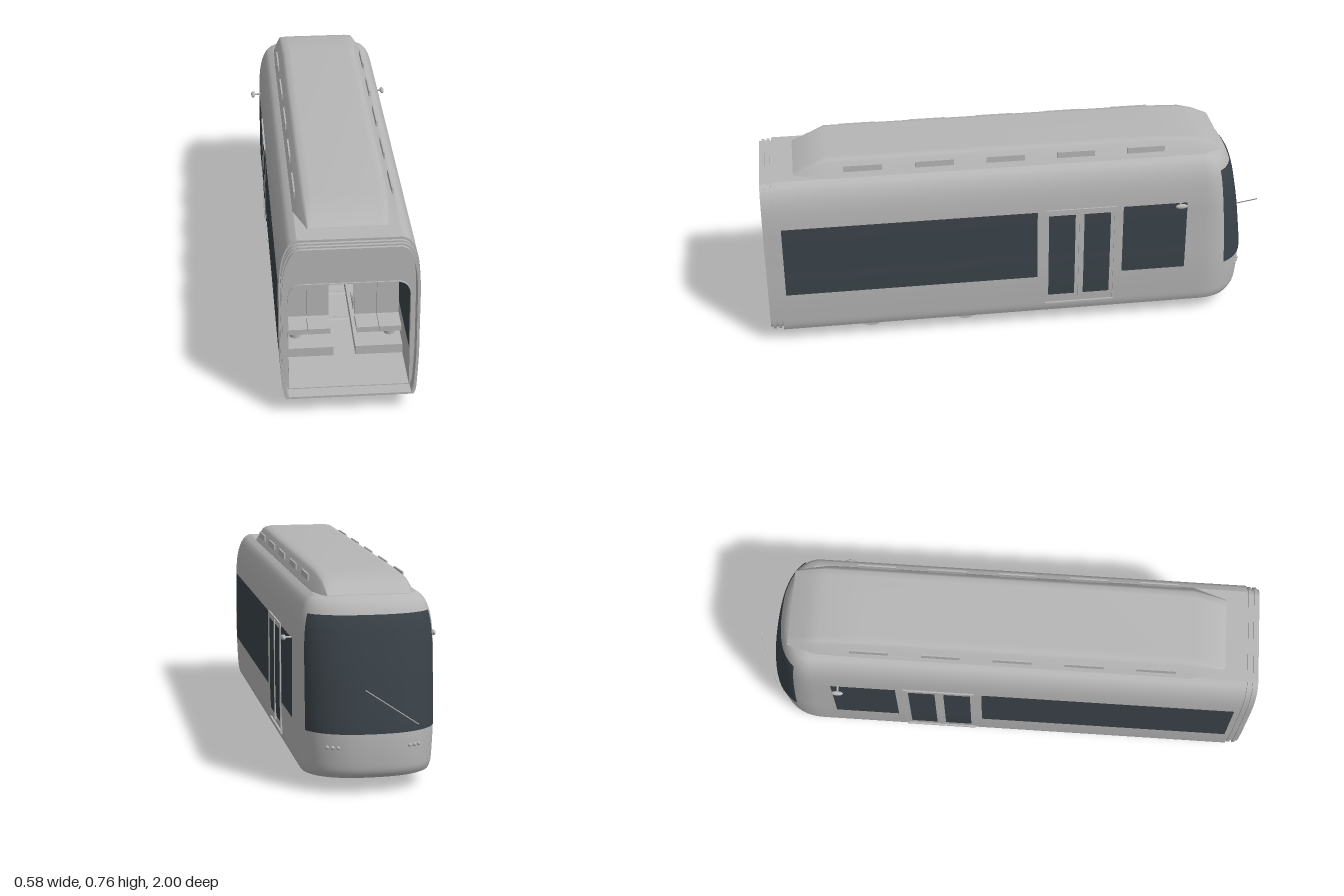
import * as THREE from 'three';

const NOSE_Z = -0.72, END_Z = 0.95;
// Half width, height and nose z of the body at each level
const levels = new THREE.CatmullRomCurve3([
  [0.235, 0.06, -0.9], [0.242, 0.08, -0.915], [0.246, 0.13, -0.923], [0.25, 0.23, -0.925], [0.25, 0.35, -0.912],
  [0.25, 0.45, -0.898], [0.249, 0.53, -0.883], [0.243, 0.6, -0.868], [0.234, 0.64, -0.855],
  [0.221, 0.67, -0.838], [0.205, 0.69, -0.815], [0.185, 0.7, -0.785],
].map(p => new THREE.Vector3(...p))).getPoints(66);

function levelAt(y) {
  for (let i = 1; i < levels.length; i++) {
    const a = levels[i - 1], b = levels[i];
    if (y <= b.y) return a.clone().lerp(b, Math.max(0, (y - a.y) / (b.y - a.y)));
  }
  return levels[levels.length - 1].clone();
}

// Body surface: |s| <= 1 wraps the nose, 1..2 runs along the side
function bodyPoint(s, y, off = 0) {
  const l = levelAt(y), w = l.x + off, n = l.z - off, a = Math.abs(s), sg = Math.sign(s);
  if (a >= 1) return [sg * w, y, NOSE_Z + (a - 1) * (END_Z - NOSE_Z)];
  const t = a * Math.PI / 2, e = 0.83;
  return [sg * w * Math.sin(t) ** e, y, NOSE_Z + (n - NOSE_Z) * Math.cos(t) ** e];
}
const sAt = (z, side) => side * (1 + (z - NOSE_Z) / (END_Z - NOSE_Z));

// Grid surface from a rule fn(u, v) with u, v in 0..1
function grid(nu, nv, fn) {
  const pos = [], idx = [];
  for (let j = 0; j <= nv; j++) for (let i = 0; i <= nu; i++) pos.push(...fn(i / nu, j / nv));
  for (let j = 0; j < nv; j++) for (let i = 0; i < nu; i++) {
    const a = j * (nu + 1) + i, c = a + nu + 1;
    idx.push(a, c, a + 1, a + 1, c, c + 1);
  }
  const g = new THREE.BufferGeometry();
  g.setAttribute('position', new THREE.Float32BufferAttribute(pos, 3));
  g.setIndex(idx);
  g.computeVertexNormals();
  return g;
}
const patch = (s0, s1, y0, y1, off, nu, nv) =>
  grid(nu, nv, (u, v) => bodyPoint(s0 + (s1 - s0) * u, y0 + (y1 - y0) * v, off));

// Closed outlines across the body, scaled about the middle
function bodyOutline(k) {
  const half = levels.map(l => new THREE.Vector2(l.x * k, 0.385 + (l.y - 0.385) * k));
  return [...half, ...half.slice().reverse().map(p => new THREE.Vector2(-p.x, p.y))];
}
function cabinShape() {
  const s = new THREE.Shape();
  s.moveTo(-0.22, 0.08); s.lineTo(0.22, 0.08); s.lineTo(0.22, 0.46);
  s.quadraticCurveTo(0.215, 0.52, 0.17, 0.52); s.lineTo(-0.17, 0.52);
  s.quadraticCurveTo(-0.215, 0.52, -0.22, 0.46); s.lineTo(-0.22, 0.08);
  return s;
}

export function createModel() {
  const model = new THREE.Group();
  const grey = new THREE.MeshStandardMaterial({ color: 0xb6b6b6, side: THREE.DoubleSide });
  grey.name = 'light grey paint';
  const glass = new THREE.MeshStandardMaterial({ color: 0x3b4349, side: THREE.DoubleSide });
  glass.name = 'dark glass';

  const add = (name, geo, mat = grey, x = 0, y = 0, z = 0) => {
    const m = new THREE.Mesh(geo, mat);
    m.name = name;
    m.position.set(x, y, z);
    model.add(m);
    return m;
  };
  const box = (name, w, h, d, x, y, z, mat = grey) => add(name, new THREE.BoxGeometry(w, h, d), mat, x, y, z);
  const rod = (name, r, a, b) => add(name, new THREE.TubeGeometry(
    new THREE.LineCurve3(new THREE.Vector3(...a), new THREE.Vector3(...b)), 1, r, 8));
  const drum = (name, r, len, x, y, z) => {
    add(name, new THREE.CylinderGeometry(r, r, len, 28), grey, x, y, z).rotation.z = Math.PI / 2;
  };

  // Outer shell, roof and underside
  add('bodyShell', patch(-2, 2, 0.06, 0.7, 0, 144, 60));
  const cap = y => grid(96, 2, (u, v) => {
    const p = bodyPoint(-2 + 4 * u, y);
    return [p[0] * (1 - v), p[1], p[2]];
  });
  add('roof', cap(0.7));
  add('underside', cap(0.06));

  // Windscreen
  add('windscreen', patch(-0.72, 0.72, 0.225, 0.64, 0.004, 48, 24), glass);

  // Side windows, doors and mirrors
  for (const side of [-1, 1]) {
    const pane = (name, z0, z1, y0, y1) => add(name,
      patch(sAt(side < 0 ? z0 : z1, side), sAt(side < 0 ? z1 : z0, side), y0, y1, 0.003, 2, 12), glass);
    pane('saloonWindow', 0.93, -0.06, 0.23, 0.525);
    pane('cabWindow', -0.4, -0.655, 0.23, 0.525);
    pane('doorPane', -0.105, -0.21, 0.14, 0.505);
    pane('doorPane', -0.245, -0.35, 0.14, 0.505);
    box('doorTopRail', 0.008, 0.007, 0.28, side * 0.251, 0.526, -0.23);
    box('doorSidePost', 0.008, 0.42, 0.005, side * 0.249, 0.315, -0.368);
    box('doorCentreSeal', 0.008, 0.4, 0.006, side * 0.25, 0.32, -0.228);
    box('doorSill', 0.012, 0.006, 0.28, side * 0.246, 0.1, -0.23);

    // Thin inner panes
    box('innerWindow', 0.004, 0.29, 0.98, side * 0.219, 0.375, 0.435, glass);
    for (const z of [-0.158, -0.298]) box('innerDoorPane', 0.004, 0.36, 0.1, side * 0.219, 0.32, z, glass);

    // Mirror
    rod('mirrorArm', 0.004, [side * 0.245, 0.525, -0.625], [side * 0.28, 0.525, -0.625]);
    add('mirror', new THREE.SphereGeometry(0.01, 16, 12), grey, side * 0.28, 0.525, -0.625).scale.set(0.9, 1, 2.4);

    // Nose lamps
    for (const s of [0.3, 0.36, 0.42])
      add('noseLamp', new THREE.SphereGeometry(0.007, 10, 8), grey, ...bodyPoint(side * s, 0.175));

    // Roof vents
    for (let i = 0; i < 5; i++) box('roofVent', 0.006, 0.024, 0.148, side * 0.177, 0.733, 0.605 - i * 0.275);
  }

  // Roof fairing: z, half width at foot, half width at top, foot y, top y
  const ribs = [[0.87, 0.145, 0.14, 0.7, 0.703], [0.74, 0.188, 0.145, 0.7, 0.765], [-0.52, 0.188, 0.145, 0.7, 0.765],
    [-0.69, 0.185, 0.15, 0.7, 0.755], [-0.75, 0.172, 0.15, 0.702, 0.738], [-0.815, 0.155, 0.15, 0.703, 0.707]];
  const fairing = grid(7, ribs.length - 1, (u, v) => {
    const [z, w, t, y0, y1] = ribs[Math.round(v * (ribs.length - 1))];
    const i = Math.round(u * 7), h = y1 - y0;
    const half = [[w, y0], [t + (w - t) * 0.28, y0 + h * 0.78], [t, y0 + h * 0.93], [t - 0.025, y1]];
    const p = half[i < 4 ? i : 7 - i];
    return [i < 4 ? p[0] : -p[0], p[1], z];
  });
  add('roofFairing', fairing);
  add('fairingUnderside', grid(1, ribs.length - 1, (u, v) => {
    const r = ribs[Math.round(v * (ribs.length - 1))];
    return [(u * 2 - 1) * r[1], r[3] + 0.0005, r[0]];
  }));

  // Wiper
  rod('wiper', 0.002, [-0.16, 0.25, -0.91], [0.05, 0.4, -0.998]);

  // End panel around the cabin opening
  const end = new THREE.Shape(bodyOutline(1));
  end.holes.push(new THREE.Path(cabinShape().getPoints(8)));
  add('endPanel', new THREE.ShapeGeometry(end), grey, 0, 0, 0.945);

  // Gangway bellows
  for (let i = 0; i < 5; i++) {
    const ring = new THREE.Shape(bodyOutline(i % 2 ? 0.985 : 0.965));
    ring.holes.push(new THREE.Path(bodyOutline(0.94)));
    add('gangwayRib', new THREE.ExtrudeGeometry(ring, { depth: 0.0105, bevelEnabled: false }), grey, 0, 0, 0.9465 + i * 0.0106);
  }

  // Cabin lining and cab bulkhead
  const lining = cabinShape().getPoints(10);
  add('cabinLining', new THREE.ExtrudeGeometry(
    Object.assign(cabinShape(), { holes: [new THREE.Path(lining.map(p => new THREE.Vector2(p.x * 0.99, 0.3 + (p.y - 0.3) * 0.985)))] }),
    { depth: 1.34, bevelEnabled: false }), grey, 0, 0, -0.39);
  add('cabBulkhead', new THREE.ShapeGeometry(cabinShape()), grey, 0, 0, -0.385);
  box('bulkheadDoorSeam', 0.006, 0.41, 0.006, 0, 0.315, -0.382);
  box('bulkheadWindow', 0.107, 0.073, 0.006, -0.118, 0.388, -0.381, glass);
  box('displayCase', 0.132, 0.048, 0.03, 0, 0.481, -0.365);
  box('displayScreen', 0.118, 0.04, 0.006, 0, 0.481, -0.348, glass);

  // Seats on raised plinths, with grab poles
  for (const side of [-1, 1]) {
    box('seatPlinth', 0.178, 0.04, 0.68, side * 0.13, 0.1, 0.41);
    for (const [z, dir] of [[0.66, 1], [0.5, -1], [0.3, 1], [0.14, -1]]) {
      for (const x of [0.091, 0.176]) {
        box('seatCushion', 0.083, 0.022, 0.1, side * x, 0.165, z);
        box('seatBack', 0.083, 0.18, 0.014, side * x, 0.262, z - dir * 0.05);
      }
      add('seatPedestal', new THREE.CylinderGeometry(0.022, 0.022, 0.035, 14), grey, side * 0.178, 0.137, z);
    }
    for (const z of [0.58, 0.22]) rod('grabPole', 0.003, [side * 0.178, 0.12, z], [side * 0.178, 0.515, z]);
  }

  // Bogie: wheels, axles, brake discs and motors
  for (const z of [0.6, 0.22]) {
    drum('axle', 0.009, 0.32, 0, 0.062, z);
    for (const side of [-1, 1]) {
      drum('wheel', 0.058, 0.024, side * 0.161, 0.064, z);
      drum('wheelFlange', 0.064, 0.006, side * 0.149, 0.064, z);
      drum('brakeDisc', 0.038, 0.008, side * 0.1, 0.064, z);
    }
  }
  for (const z of [0.5, 0.315]) drum('motor', 0.025, 0.154, -0.013, 0.062, z);

  return model;
}
